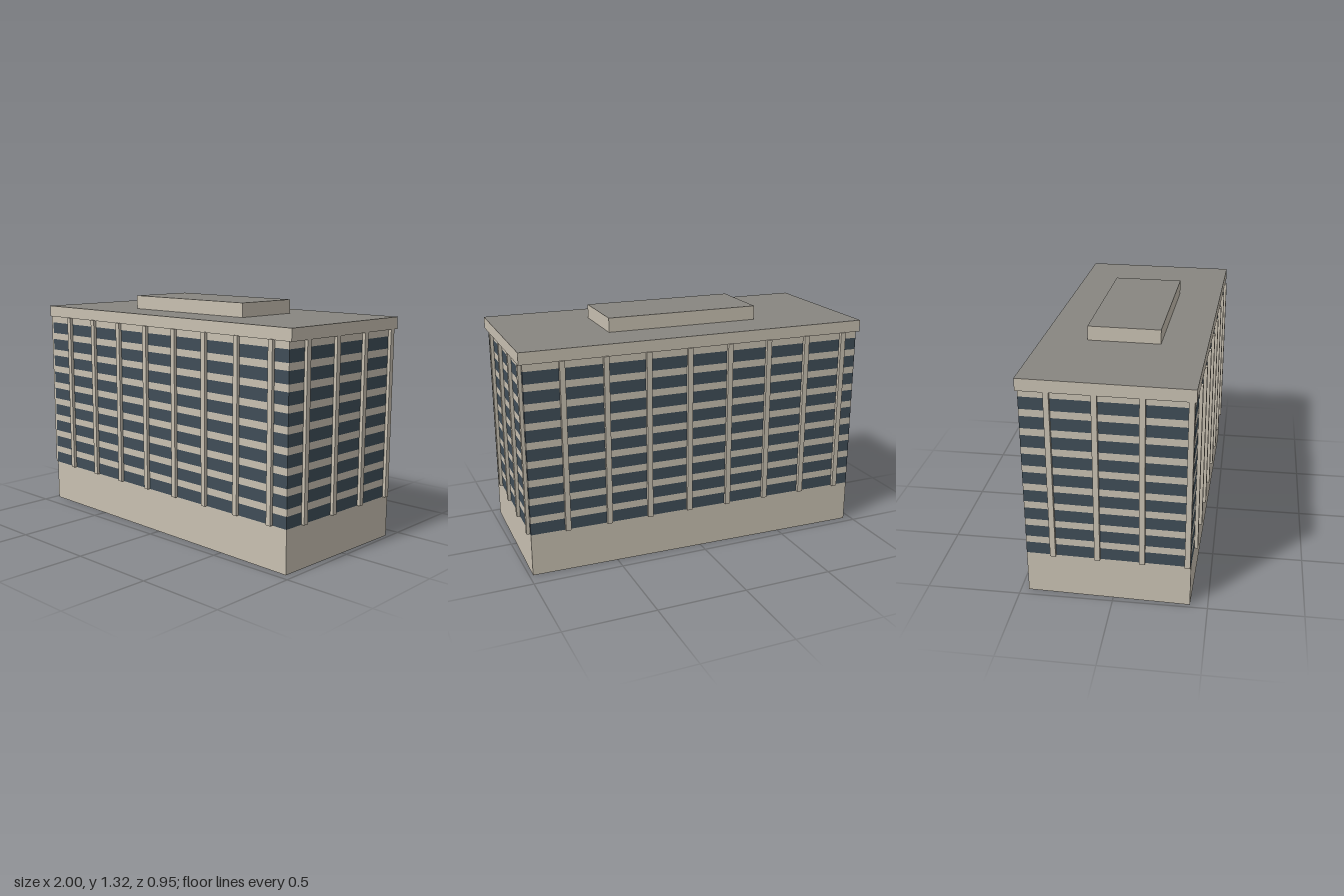
import * as THREE from 'three';

export function createModel() {
  const material = (name, color) => {
    const m = new THREE.MeshStandardMaterial({ color });
    m.name = name;
    return m;
  };
  const concrete = material('beige concrete', 0xc8c0b1);
  const glass = material('dark window glass', 0x3f4d57);
  const roofing = material('grey roofing', 0x888680);
  const concreteWithRoof = [concrete, concrete, roofing, concrete, concrete, concrete];

  const model = new THREE.Group();
  model.name = 'officeBlock';
  const building = new THREE.Group();
  building.name = 'building';
  building.rotation.y = -0.0263; // the block stands slightly turned
  model.add(building);

  // Box standing on height y0 and reaching y1
  const addBlock = (name, mat, w, d, y0, y1, x = 0, z = 0) => {
    const mesh = new THREE.Mesh(new THREE.BoxGeometry(w, y1 - y0, d), mat);
    mesh.name = name;
    mesh.position.set(x, (y0 + y1) / 2, z);
    building.add(mesh);
  };

  const W = 1.938, D = 0.865;
  const baseTop = 0.237, floorHeight = 0.104, glassHeight = 0.066, floors = 9;
  const wallTop = baseTop + floors * floorHeight;

  // Plinth
  addBlock('base', concrete, W, D, 0, baseTop);

  // Storeys: a window strip with a concrete band above it
  for (let i = 0; i < floors; i++) {
    const y = baseTop + i * floorHeight;
    addBlock('windowStrip', glass, W, D, y, y + glassHeight);
    addBlock('floorBand', concrete, W, D, y + glassHeight, y + floorHeight);
  }

  // Roof slab and rooftop plant room
  addBlock('roofSlab', concreteWithRoof, 1.976, 0.88, wallTop, 1.238);
  addBlock('plantRoom', concreteWithRoof, 0.869, 0.39, 1.238, 1.316);

  // Pillars at an even pitch around the outline
  const pitch = 0.2346, width = 0.029, depth = 0.03, proud = 0.018;
  const px = W / 2 + proud - depth / 2;
  const pz = D / 2 + proud - depth / 2;
  const pillar = (name, w, d, x, z) => addBlock(name, concrete, w, d, baseTop, 1.176, x, z);
  for (let i = 0; i < 8; i++) {
    pillar('frontPillar', width, depth, -0.781 + i * pitch, pz);
    pillar('backPillar', width, depth, 0.766 - i * pitch, -pz);
  }
  for (let i = 0; i < 4; i++) {
    pillar('leftPillar', depth, width, px, 0.304 - i * pitch);
    pillar('rightPillar', depth, width, -px, -0.288 + i * pitch);
  }
  return model;
}
